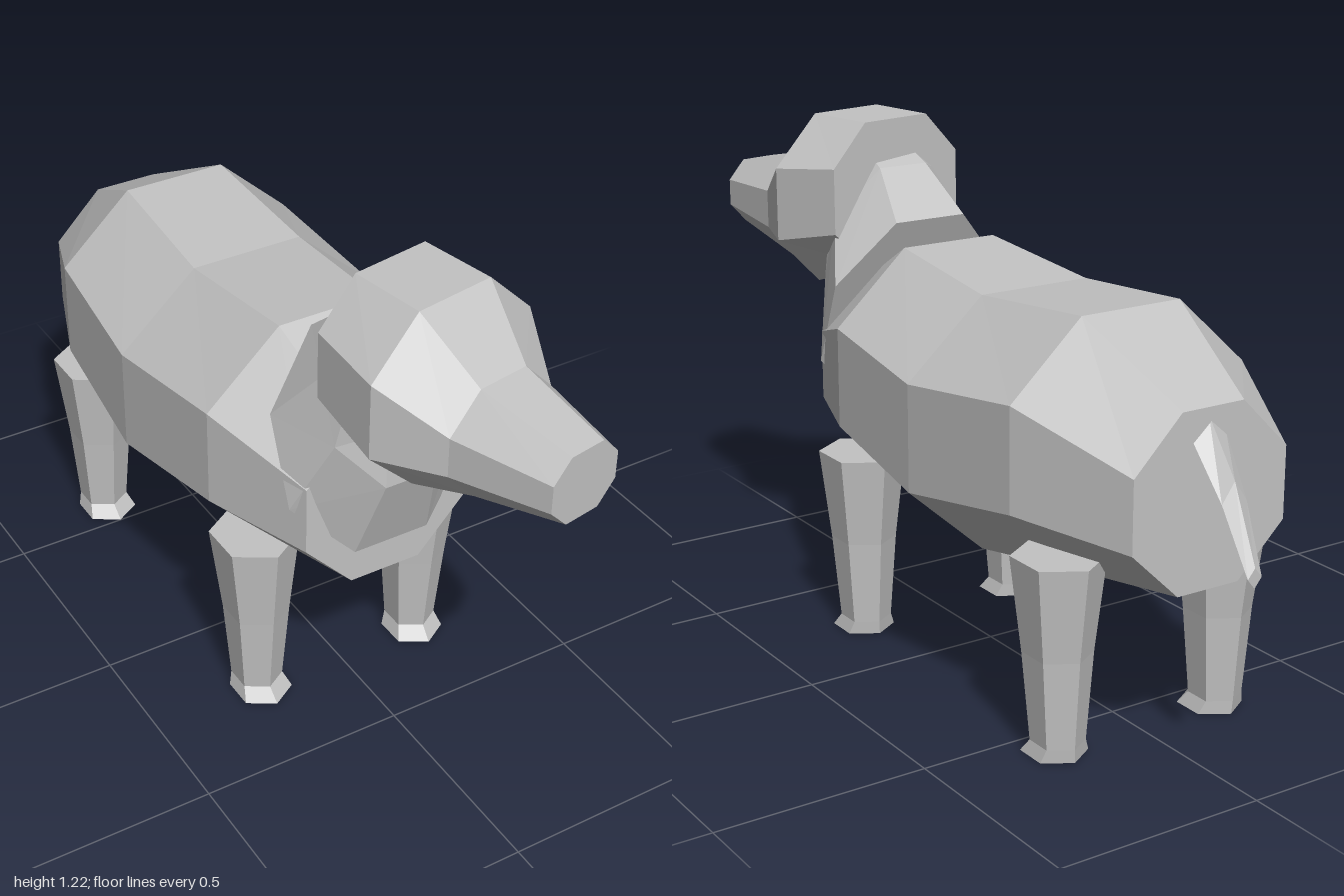
import * as THREE from 'three';

const grey = new THREE.MeshStandardMaterial({ color: 0xc2c2c2, flatShading: true });
grey.name = 'plain grey';

// Skin a list of equal-sized rings (counter-clockwise seen from the end) and cap both ends
function loft(name, rings) {
  const n = rings[0].length, last = (rings.length - 1) * n, index = [];
  for (let r = 0; r < rings.length - 1; r++) {
    for (let i = 0; i < n; i++) {
      const a = r * n + i, b = r * n + (i + 1) % n;
      index.push(a, b, b + n, a, b + n, a + n);
    }
  }
  for (let i = 1; i < n - 1; i++) {
    index.push(0, i + 1, i, last, last + i, last + i + 1);
  }
  const indexed = new THREE.BufferGeometry();
  indexed.setAttribute('position', new THREE.Float32BufferAttribute(rings.flat(2), 3));
  indexed.setIndex(index);
  const geometry = indexed.toNonIndexed();
  geometry.computeVertexNormals();
  const mesh = new THREE.Mesh(geometry, grey);
  mesh.name = name;
  return mesh;
}

// Eight-sided section; it leans when the top and bottom z differ
function octagon(zTop, zBottom, flat, half, top, upper, lower, bottom) {
  const corners = [
    [-flat, bottom], [flat, bottom], [half, lower], [half, upper],
    [flat, top], [-flat, top], [-half, upper], [-half, lower],
  ];
  return corners.map(([x, y]) =>
    [x, y, THREE.MathUtils.mapLinear(y, bottom, top, zBottom, zTop)]);
}

// Six-sided leg section with a corner to the front
function hexagon(x, y, z, r) {
  return Array.from({ length: 6 }, (_, i) => {
    const a = i * Math.PI / 3;
    return [x + Math.sin(a) * r * 0.94, y, z + Math.cos(a) * r];
  });
}

// Four-sided tail section
function diamond(x, y, z, half, height) {
  return [[x, y - height, z], [x + half, y, z], [x, y + height, z], [x - half, y, z]];
}

export function createModel() {
  const model = new THREE.Group();
  model.name = 'dog';

  // Body, tail end to chest
  model.add(loft('body', [
    octagon(-0.82, -0.82, 0.08, 0.20, 0.81, 0.69, 0.525, 0.41),
    octagon(-0.54, -0.54, 0.13, 0.31, 0.955, 0.79, 0.55, 0.385),
    octagon(-0.18, -0.18, 0.142, 0.338, 0.925, 0.75, 0.497, 0.322),
    octagon(0.18, 0.18, 0.125, 0.31, 0.96, 0.79, 0.55, 0.38),
    octagon(0.44, 0.44, 0.09, 0.21, 0.82, 0.71, 0.54, 0.41),
  ]));

  // Neck, its lower end sunk in the chest and its upper end in the head
  model.add(loft('neck', [
    octagon(0.265, 0.46, 0.095, 0.233, 1.0, 0.85, 0.645, 0.508),
    octagon(0.39, 0.53, 0.065, 0.17, 1.11, 0.99, 0.84, 0.72),
    octagon(0.46, 0.52, 0.06, 0.15, 1.14, 1.07, 0.95, 0.86),
  ]));

  // Head, turned a little to its left
  const head = loft('head', [
    octagon(-0.19, -0.19, 0.098, 0.198, 1.222, 1.12, 0.96, 0.87),
    octagon(0, 0, 0.1, 0.226, 1.222, 1.1, 0.92, 0.797),
    octagon(0.145, 0.145, 0.064, 0.145, 1.095, 1.012, 0.918, 0.83),
    octagon(0.377, 0.377, 0.045, 0.092, 1.048, 1.0, 0.934, 0.885),
  ]);
  head.position.set(0.032, 0, 0.61);
  head.rotation.y = THREE.MathUtils.degToRad(10);
  model.add(head);

  // Legs with slightly flared feet
  for (const [end, z] of [['front', 0.23], ['back', -0.595]]) {
    for (const [side, s] of [['Left', 1], ['Right', -1]]) {
      model.add(loft(end + side + 'Leg', [
        hexagon(s * 0.217, 0, z + 0.016, 0.078),
        hexagon(s * 0.219, 0.032, z, 0.064),
        hexagon(s * 0.22, 0.24, z + 0.002, 0.082),
        hexagon(s * 0.222, 0.46, z, 0.109),
      ]));
    }
  }

  // Tail, tip to root
  model.add(loft('tail', [
    diamond(0.03, 0.502, -1.0, 0.018, 0.022),
    diamond(0.018, 0.635, -0.915, 0.032, 0.045),
    diamond(0.004, 0.75, -0.81, 0.046, 0.04),
  ]));

  return model;
}
